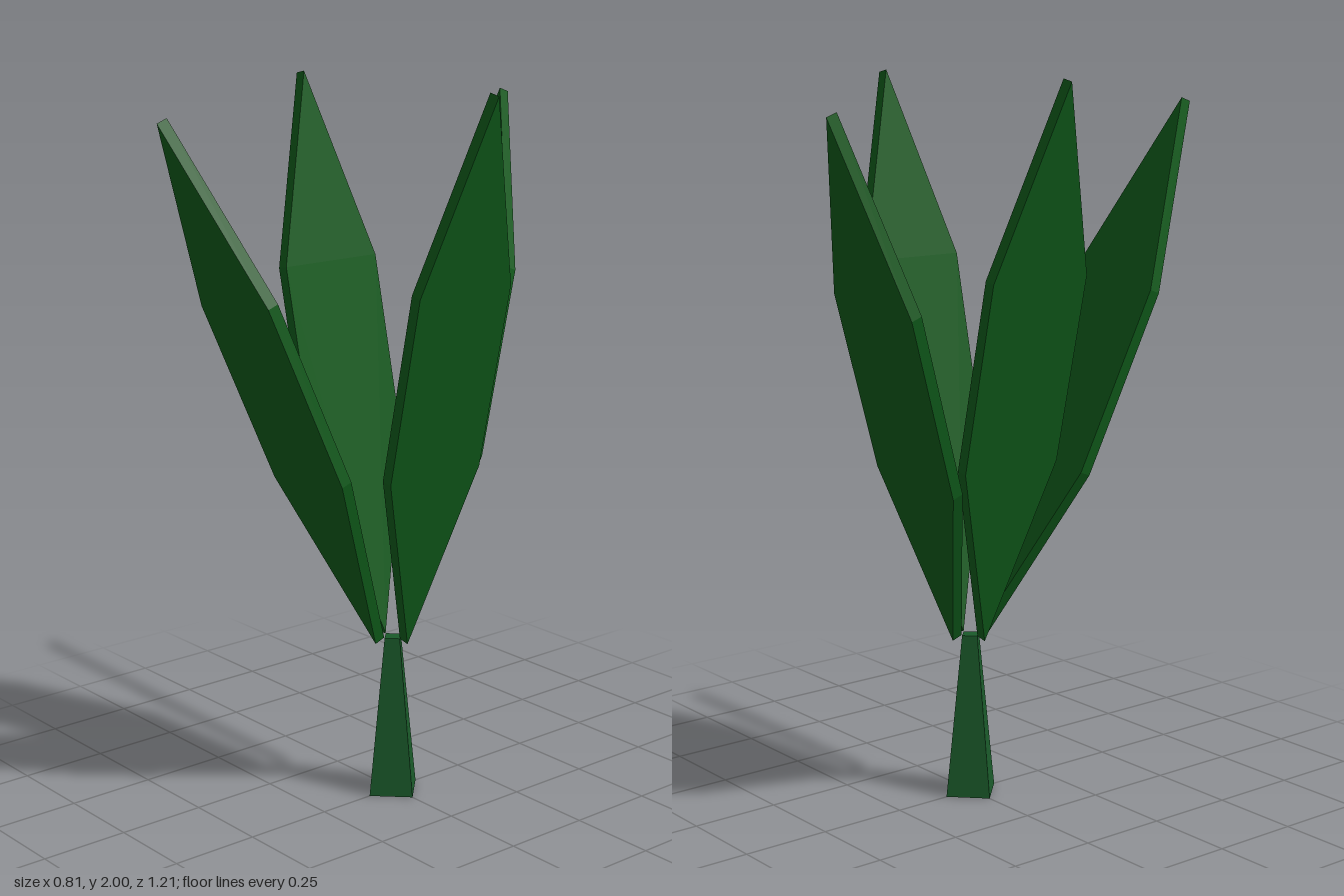
import * as THREE from 'three';

const LENGTH = 1.577, HALF_WIDTH = 0.158, THICKNESS = 0.033;

// Six-sided leaf blade, base at the origin, growing along +y
function leafGeometry() {
  const outline = new THREE.Shape([
    [0, 0], [HALF_WIDTH, LENGTH * 0.332], [HALF_WIDTH, LENGTH * 0.668],
    [0, LENGTH], [-HALF_WIDTH, LENGTH * 0.668], [-HALF_WIDTH, LENGTH * 0.332],
  ].map(([x, y]) => new THREE.Vector2(x, y)));
  const geometry = new THREE.ExtrudeGeometry(outline, { depth: THICKNESS, bevelEnabled: false });
  return geometry.translate(0, 0, -THICKNESS / 2);
}

export function createModel() {
  const model = new THREE.Group();
  model.name = 'plant';
  const leafMaterial = new THREE.MeshStandardMaterial({ color: 0x0f5a1a, flatShading: true });
  const stemMaterial = new THREE.MeshStandardMaterial({ color: 0x1a5a2a, flatShading: true });

  // Tapered four-sided stem with its corners on the axes
  const stem = new THREE.Mesh(new THREE.CylinderGeometry(0.03, 0.086, 0.46, 4), stemMaterial);
  stem.name = 'stem';
  stem.position.y = 0.23;
  model.add(stem);

  const broadLeaf = leafGeometry();
  const sideLeaf = leafGeometry().rotateY(Math.PI / 2);

  for (const side of [1, -1]) {
    // Left and right leaves lean straight outwards
    const lateral = new THREE.Mesh(sideLeaf, leafMaterial);
    lateral.name = side > 0 ? 'leftLeaf' : 'rightLeaf';
    lateral.position.set(side * 0.047, 0.457, 0);
    lateral.rotation.z = -side * 0.22;
    model.add(lateral);

    // Front and back leaves lean further and both roll towards -x
    const broad = new THREE.Mesh(broadLeaf, leafMaterial);
    broad.name = side > 0 ? 'frontLeaf' : 'backLeaf';
    broad.position.set(0, 0.457, side * 0.047);
    broad.rotation.set(side * 0.356, 0, 0.13);
    model.add(broad);
  }
  return model;
}
